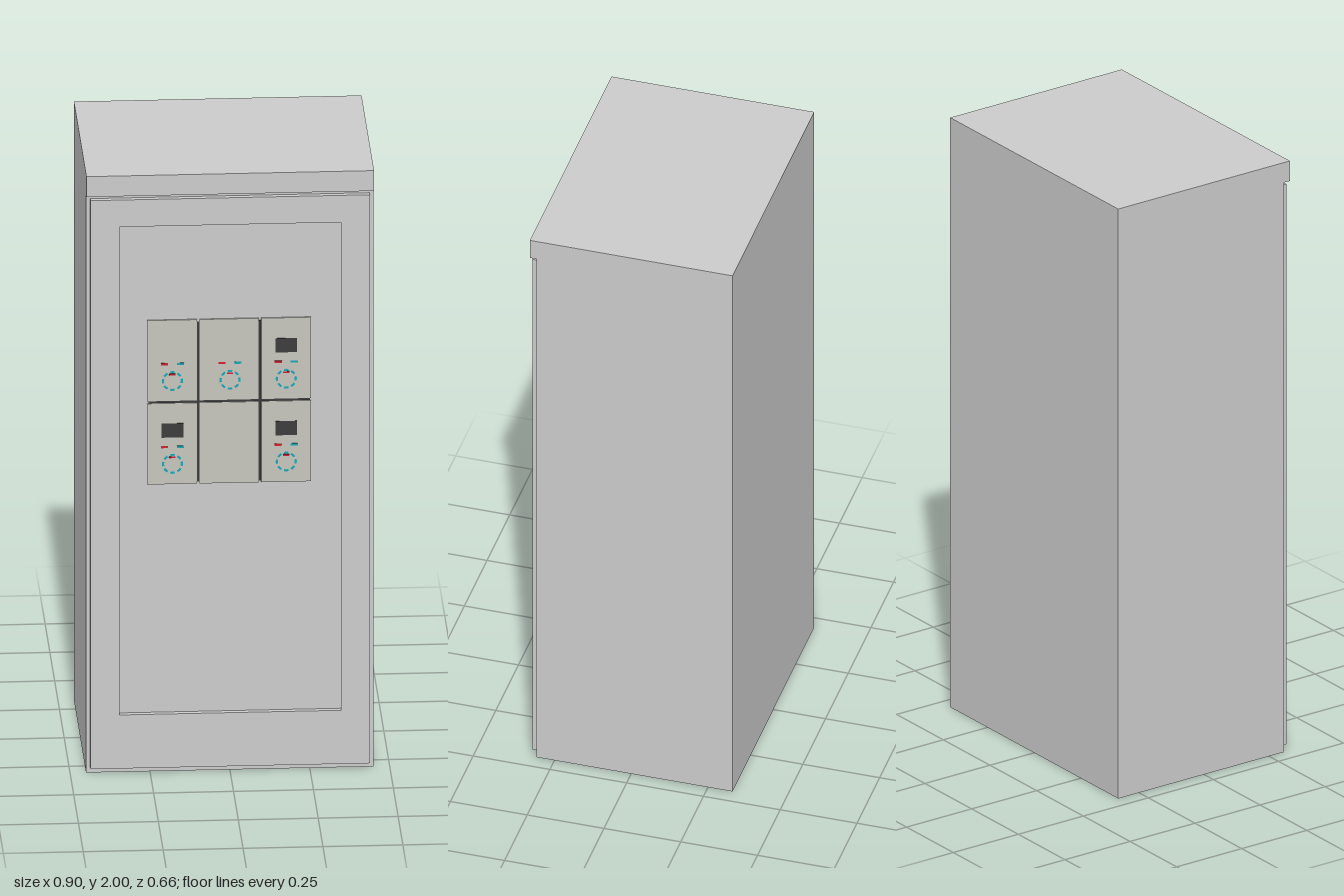
import * as THREE from 'three';

const mat = (color) => new THREE.MeshStandardMaterial({ color });
const GREY = mat(0xcccccc), PANEL = mat(0xc6c6be), DARK = mat(0x3c3c3c);
const RED = mat(0xd02030), CYAN = mat(0x18a8b8);

// Box given by its minimum and maximum corners
function box(parent, name, material, [x0, y0, z0], [x1, y1, z1]) {
  const mesh = new THREE.Mesh(new THREE.BoxGeometry(x1 - x0, y1 - y0, z1 - z0), material);
  mesh.position.set((x0 + x1) / 2, (y0 + y1) / 2, (z0 + z1) / 2);
  mesh.name = name;
  parent.add(mesh);
  return mesh;
}

function rectangle(target, x0, y0, x1, y1) {
  target.moveTo(x0, y0);
  target.lineTo(x1, y0);
  target.lineTo(x1, y1);
  target.lineTo(x0, y1);
  target.closePath();
  return target;
}

const BODY_Z = 0.308, PANEL_Z = 0.313;

// Indicator lamps, dashed dial ring and optional display of one control panel
function controls(parent, x, y, hasDisplay) {
  const group = new THREE.Group();
  group.name = 'controls';
  group.position.set(x, y, PANEL_Z);
  const z = 0.0015;
  box(group, 'redLamp', RED, [-0.036, 0.053, 0], [-0.014, 0.06, z]);
  box(group, 'cyanLamp', CYAN, [0.014, 0.053, 0], [0.036, 0.06, z]);
  box(group, 'dialMark', RED, [-0.01, 0.019, 0], [0.01, 0.024, z]);
  for (let i = 0; i < 8; i++) {
    const arc = new THREE.Mesh(
      new THREE.RingGeometry(0.026, 0.033, 4, 1, (i * Math.PI) / 4 - 0.24, 0.48), CYAN);
    arc.name = 'dialSegment';
    arc.position.z = z;
    group.add(arc);
  }
  if (hasDisplay) box(group, 'display', DARK, [-0.034, 0.088, 0], [0.034, 0.135, z]);
  parent.add(group);
}

export function createModel() {
  const model = new THREE.Group();
  model.name = 'controlCabinet';

  // Cabinet side profile with the overhanging lid, extruded across the width
  const profile = new THREE.Shape();
  [[-0.33, 0], [BODY_Z, 0], [BODY_Z, 1.932], [0.33, 1.932], [0.33, 2], [-0.33, 2]]
    .forEach(([z, y], i) => (i ? profile.lineTo(-z, y) : profile.moveTo(-z, y)));
  const bodyGeo = new THREE.ExtrudeGeometry(profile, { depth: 0.9, bevelEnabled: false });
  bodyGeo.translate(0, 0, -0.45);
  bodyGeo.rotateY(Math.PI / 2);
  const body = new THREE.Mesh(bodyGeo, GREY);
  body.name = 'cabinetBody';
  model.add(body);

  // Door frame around the recessed field
  const frame = rectangle(new THREE.Shape(), -0.437, 0.018, 0.437, 1.918);
  frame.holes.push(rectangle(new THREE.Path(), -0.347, 0.197, 0.347, 1.828));
  const door = new THREE.Mesh(
    new THREE.ExtrudeGeometry(frame, { depth: 0.018, bevelEnabled: false }), GREY);
  door.name = 'doorFrame';
  door.position.z = BODY_Z;
  model.add(door);

  // Control panels in two rows of three, on a dark backing seen in the gaps
  const panels = new THREE.Group();
  panels.name = 'controlPanels';
  model.add(panels);
  box(panels, 'panelBacking', DARK, [-0.255, 0.965, BODY_Z], [0.25, 1.5, BODY_Z + 0.002]);
  const columns = [[-0.26, -0.103], [-0.095, 0.09], [0.098, 0.254]];
  const rows = [[1.238, 1.508], [0.96, 1.23]];
  const dialX = [-0.18, 0, 0.176], dialY = [1.305, 1.028];
  const display = [[false, false, true], [true, null, true]]; // null: blank panel
  rows.forEach(([y0, y1], r) => columns.forEach(([x0, x1], c) => {
    box(panels, 'panel', PANEL, [x0, y0, BODY_Z], [x1, y1, PANEL_Z]);
    if (display[r][c] !== null) controls(panels, dialX[c], dialY[r], display[r][c]);
  }));

  return model;
}
